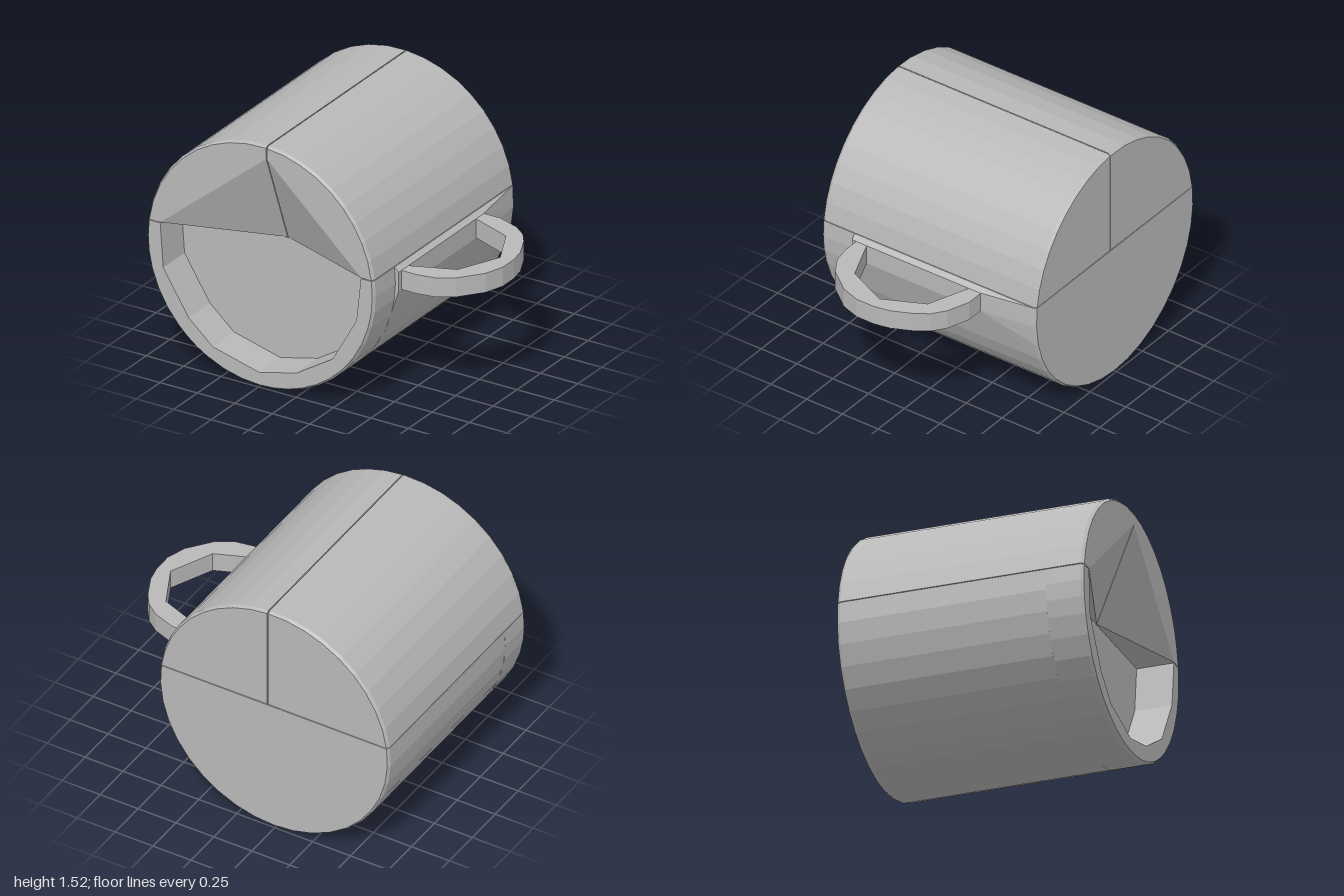
import * as THREE from 'three';
import { ConvexGeometry } from 'three/addons/geometries/ConvexGeometry.js';

const CX = -0.242, CY = 0.76, R = 0.76, BEVEL_R = 0.748;
const END = 0.745, SHOULDER = 0.727, FLOOR = 0.52, SPLIT = 0.86;

export function createModel() {
  const model = new THREE.Group();
  const grey = new THREE.MeshStandardMaterial({ color: 0xb8b8b8, flatShading: true });
  grey.name = 'grey clay';

  const add = (name, geometry) => {
    const mesh = new THREE.Mesh(geometry, grey);
    mesh.name = name;
    model.add(mesh);
  };
  const v = (x, y, z) => new THREE.Vector3(x, y, z);

  // Points along an arc of the mug wall at depth z
  const arc = (a0, a1, steps, r, z) => Array.from({ length: steps + 1 }, (_, i) => {
    const a = a0 + (a1 - a0) * i / steps;
    return v(CX + r * Math.cos(a), CY + r * Math.sin(a), z);
  });
  const hull = (name, points) => add(name, new ConvexGeometry(points));

  const rise = Math.asin((SPLIT - CY) / R);
  const seam = Math.acos((-0.2 - CX) / R);

  // Upper halves, each with a slanted cut towards the open mouth
  const upper = (name, a0, a1, seamX, mouthX) => hull(name, [
    ...arc(a0, a1, 9, BEVEL_R, -END), ...arc(a0, a1, 9, R, -SHOULDER),
    ...arc(a0, a1, 9, R, SHOULDER), ...arc(a0, a1, 9, BEVEL_R, END),
    v(seamX, SPLIT, -END), v(seamX, SPLIT, FLOOR),
    v(seamX, 1.44, END), v(mouthX, SPLIT, END),
  ]);
  upper('upperLeftBody', rise, seam - 0.004, -0.197, 0.43);
  upper('upperRightBody', seam + 0.004, Math.PI - rise, -0.202, -0.91);

  // Lower body behind the mouth, swelling slightly where the handle joins
  const low0 = -Math.PI - rise + 0.006, low1 = rise - 0.006;
  hull('lowerBody', [
    ...arc(low0, low1, 20, BEVEL_R, -END),
    ...arc(low0, low1, 20, R, -SHOULDER),
    ...arc(low0, low1, 20, R, FLOOR),
    ...[FLOOR, -0.37].flatMap((z) => [v(0.54, 0.71, z), v(0.54, 0.83, z)]),
  ]);

  // Rim blocks around the lower mouth
  const inner = [
    [-0.91, 0.855], [-0.89, 0.58], [-0.72, 0.31], [-0.56, 0.17], [-0.25, 0.09],
    [0, 0.15], [0.24, 0.3], [0.4, 0.58], [0.43, 0.855],
  ];
  const angle = ([x, y]) => {
    const a = Math.atan2(y - CY, x - CX);
    return a > Math.PI / 2 ? a - 2 * Math.PI : a;
  };
  for (let i = 0; i < inner.length - 1; i++) {
    const p = inner[i], q = inner[i + 1];
    const a0 = i === 0 ? low0 : angle(p);
    const a1 = i === inner.length - 2 ? low1 : angle(q);
    hull('rimBlock' + (i + 1), [
      ...[FLOOR, END].flatMap((z) => [v(...p, z), v(...q, z)]),
      ...arc(a0, a1, 3, R, FLOOR),
      ...arc(a0, a1, 3, R, SHOULDER),
      ...arc(a0, a1, 3, BEVEL_R, END),
    ]);
  }

  // Handle outline in x and z, extruded upwards
  const outline = [
    [0.53, -0.38], [0.65, -0.38], [0.79, -0.33], [0.87, -0.27], [0.92, -0.2],
    [0.98, -0.07], [1, 0.03], [1, 0.15], [0.96, 0.27], [0.92, 0.32],
    [0.85, 0.41], [0.75, 0.47], [0.64, 0.49], [0.53, 0.49],
    [0.53, 0.42], [0.8, 0.31], [0.92, 0.05], [0.8, -0.2], [0.53, -0.3],
  ];
  const shape = new THREE.Shape(outline.map(([x, z]) => new THREE.Vector2(x, -z)));
  const handle = new THREE.ExtrudeGeometry(shape, { depth: 0.12, bevelEnabled: false });
  handle.rotateX(-Math.PI / 2).translate(0, 0.71, 0);
  add('handle', handle);

  return model;
}
